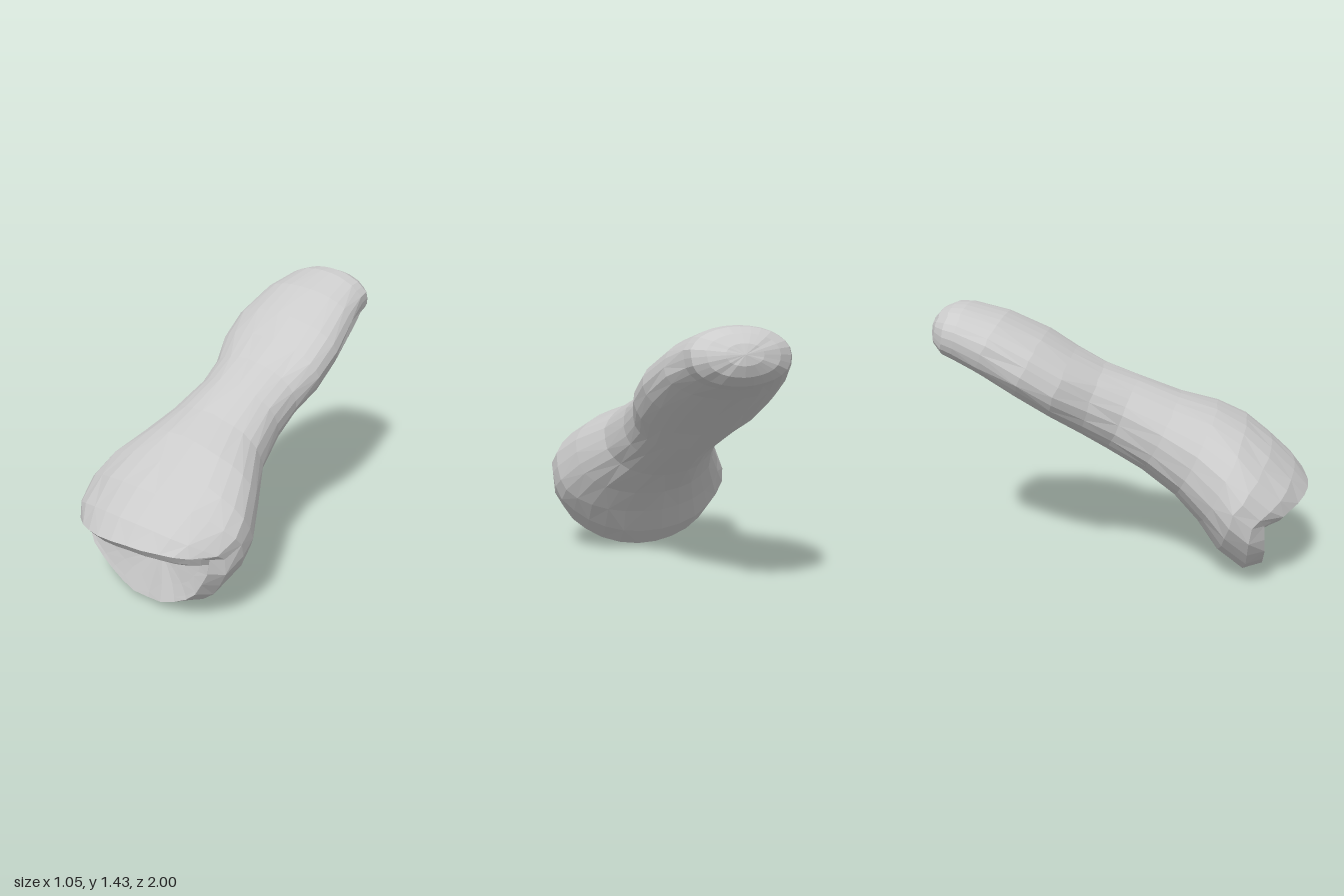
import * as THREE from 'three';

const SIDES = 28;

// Body sections, back to front:
// top z, y, bottom z, y, right x, left x, how far the flanks sweep back
const SECTIONS = [
  [-0.8, 1.43, -0.87, 1.13, -0.4, 0.14, 0],
  [-0.61, 1.38, -0.75, 1.07, -0.445, 0.19, 0],
  [-0.4, 1.28, -0.55, 0.95, -0.465, 0.24, 0],
  [-0.25, 1.185, -0.38, 0.84, -0.44, 0.25, 0],
  [-0.1, 1.1, -0.22, 0.735, -0.36, 0.215, 0],
  [0.08, 1.03, -0.08, 0.645, -0.32, 0.23, 0],
  [0.3, 0.94, 0.1, 0.535, -0.34, 0.29, 0],
  [0.5, 0.875, 0.27, 0.395, -0.39, 0.42, 0],
  [0.66, 0.795, 0.4, 0.26, -0.47, 0.51, 0],
  [0.8, 0.69, 0.51, 0.11, -0.53, 0.525, 0.05],
  [0.93, 0.57, 0.65, 0.0, -0.51, 0.5, 0.09],
  [1.0, 0.47, 0.77, 0.03, -0.44, 0.45, 0.12],
];
const BACK_TIP = new THREE.Vector3(-0.11, 1.31, -1);
const HOLLOW = new THREE.Vector3(0.05, 0.29, 0.7);

// Small repeatable unevenness for the facets
function wobble(i, j) {
  const v = Math.sin(i * 127.1 + j * 311.7) * 43758.5453;
  return (v - Math.floor(v) - 0.5) * 0.016;
}

function sectionRing([topZ, topY, botZ, botY, right, left, sweep], i) {
  const sideZ = (topZ + botZ) / 2 - sweep;
  const sideY = (topY + botY) / 2 + sweep * 1.25;
  const fullness = sweep ? 1 : 0.87;
  return Array.from({ length: SIDES }, (_, j) => {
    const angle = (j / SIDES) * Math.PI * 2;
    const s = Math.sin(angle), c = Math.cos(angle);
    const t = Math.abs(s) ** fullness;
    const radius = ((left - right) / 2) * (1 + wobble(i, j) * 2);
    // The mouth corners sit a little higher on the left
    const y = sideY + ((s > 0 ? topY : botY) - sideY) * t + sweep * c * 0.3;
    const z = sideZ + ((s > 0 ? topZ : botZ) - sideZ) * t ** (1 + sweep) + wobble(j, i) * 0.8;
    return new THREE.Vector3((left + right) / 2 + radius * c, Math.max(0, y), Math.min(1, z));
  });
}

// Rounded back end: the first section shrinks as it moves to the tip
function domeRings(ring) {
  const [topZ, topY, botZ, botY, right, left] = SECTIONS[0];
  const centre = new THREE.Vector3((right + left) / 2, (topY + botY) / 2, (topZ + botZ) / 2);
  return [90, 70, 48, 24].map((degrees) => {
    const a = THREE.MathUtils.degToRad(degrees);
    const middle = centre.clone().lerp(BACK_TIP, Math.sin(a));
    return ring.map((p) => p.clone().sub(centre).multiplyScalar(Math.cos(a)).add(middle));
  });
}

// Front hollow: the lip rim curls in to a wide crease under the upper lip
function hollowRings(rim) {
  const { lerp } = THREE.MathUtils;
  return [0.12, 0.4, 0.72, 1].map((t) => rim.map((p) => new THREE.Vector3(
    lerp(p.x, HOLLOW.x, t ** 1.6),
    lerp(p.y, HOLLOW.y, p.y > HOLLOW.y ? t ** 0.65 : t),
    lerp(p.z, HOLLOW.z, t),
  )));
}

function createBodyGeometry() {
  const body = SECTIONS.map(sectionRing);
  const rings = [...domeRings(body[0]), ...body, ...hollowRings(body[body.length - 1])];
  const last = rings.length - 1;

  // Join neighbouring rings; the two end rings are single points
  const points = [];
  for (let i = 0; i < last; i++) {
    for (let j = 0; j < SIDES; j++) {
      const k = (j + 1) % SIDES;
      const a = rings[i][j], b = rings[i][k];
      const c = rings[i + 1][k], d = rings[i + 1][j];
      if (i === 0) points.push(a, c, d);
      else if (i === last - 1) points.push(a, b, d);
      else if ((i + j) % 2) points.push(a, b, c, a, c, d);
      else points.push(a, b, d, b, c, d);
    }
  }
  const geometry = new THREE.BufferGeometry().setFromPoints(points);
  geometry.computeVertexNormals();
  return geometry;
}

export function createModel() {
  const group = new THREE.Group();
  const material = new THREE.MeshStandardMaterial({ color: 0xcccccc, flatShading: true });
  const body = new THREE.Mesh(createBodyGeometry(), material);
  body.name = 'body';
  group.add(body);
  return group;
}
